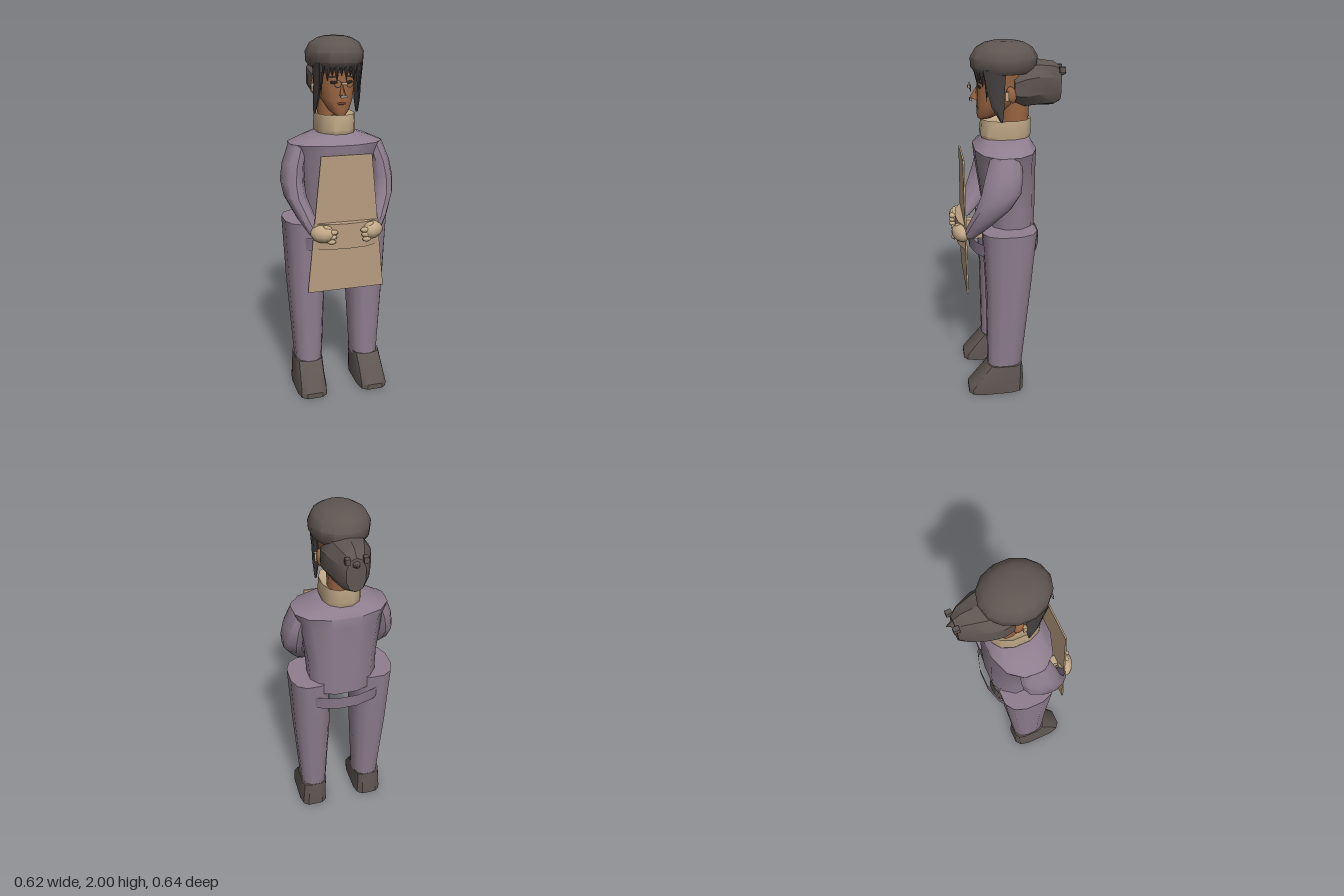
import * as THREE from 'three';
import { toCreasedNormals } from 'three/addons/utils/BufferGeometryUtils.js';

const mat = (name, color, side = THREE.FrontSide) =>
  Object.assign(new THREE.MeshStandardMaterial({ color, side }), { name });

// Skin over elliptical rings [x, y, z, ra, rb]; axis 'y' runs upward, axis 'z' runs front to back.
// power 1 gives ellipses, smaller values give boxier rings.
function loft(rings, { n = 12, axis = 'y', power = 1, capped = true, crease = 0.7 } = {}) {
  const pos = [], idx = [];
  const pw = (v) => Math.sign(v) * Math.pow(Math.abs(v), power);
  for (const [x, y, z, ra, rb] of rings) {
    for (let i = 0; i < n; i++) {
      const a = ((i + 0.5) / n) * Math.PI * 2;
      const p = pw(Math.cos(a)) * ra, q = pw(Math.sin(a)) * rb;
      if (axis === 'y') pos.push(x + p, y, z + q);
      else pos.push(x + p, y + q, z);
    }
  }
  for (let r = 0; r < rings.length - 1; r++) {
    for (let i = 0; i < n; i++) {
      const j = (i + 1) % n, a = r * n + i, b = r * n + j;
      idx.push(a, a + n, b, b, a + n, b + n);
    }
  }
  if (capped) {
    const first = rings[0], last = rings[rings.length - 1];
    const c = pos.length / 3, top = (rings.length - 1) * n;
    pos.push(first[0], first[1], first[2], last[0], last[1], last[2]);
    for (let i = 0; i < n; i++) {
      const j = (i + 1) % n;
      idx.push(c, i, j, c + 1, top + j, top + i);
    }
  }
  const g = new THREE.BufferGeometry();
  g.setAttribute('position', new THREE.Float32BufferAttribute(pos, 3));
  g.setIndex(idx);
  return toCreasedNormals(g, crease);
}

export function createModel() {
  const root = new THREE.Group();
  const cloth = mat('lilac cloth', 0x8f7e8f);
  const beltCloth = mat('belt cloth', 0x877688, THREE.DoubleSide);
  const cap = mat('dark brown felt', 0x5f5652);
  const hair = mat('dark hair', 0x45403f, THREE.DoubleSide);
  const skin = mat('brown skin', 0x9c6743);
  const apron = mat('tan apron', 0xb89d80);
  const cream = mat('cream', 0xc2aa88);
  const metal = mat('grey metal', 0x98918c);
  const lip = mat('lip', 0x6f4033);
  const eye = mat('eye', 0x2c2422);

  const add = (name, geometry, material, pos = [0, 0, 0], rot = [0, 0, 0], scale = [1, 1, 1]) => {
    const m = new THREE.Mesh(geometry, material);
    m.name = name;
    m.position.set(...pos);
    m.rotation.set(...rot);
    m.scale.set(...scale);
    root.add(m);
    return m;
  };
  const box = (w, h, d) => new THREE.BoxGeometry(w, h, d);

  // Torso with square shoulders sloping to the collar
  add('torso', loft([
    [0, 0.95, -0.02, 0.19, 0.13], [0, 1.15, -0.005, 0.2, 0.15],
    [0, 1.38, 0.012, 0.235, 0.166], [0, 1.445, 0.014, 0.262, 0.17],
    [0, 1.475, 0.01, 0.19, 0.145], [0, 1.5, 0.008, 0.11, 0.13],
  ], { power: 0.85 }), cloth);
  add('collar', loft([
    [0, 1.48, 0.008, 0.1, 0.125], [0, 1.515, 0.008, 0.11, 0.14],
    [0, 1.6, 0.005, 0.106, 0.135], [0, 1.585, 0.005, 0.085, 0.11],
  ], { power: 0.85 }), cream);
  add('belt', loft([[0, 0.87, 0.02, 0.27, 0.2], [0, 0.945, 0.02, 0.285, 0.2]],
    { capped: false, n: 16 }), beltCloth);

  for (const s of [1, -1]) {
    const side = s > 0 ? 'left' : 'right';

    // Legs and shoes
    add(side + 'Leg', loft([
      [s * 0.17, 0.15, 0.038, 0.077, 0.1], [s * 0.175, 0.66, 0.016, 0.107, 0.127],
      [s * 0.182, 1.02, 0.01, 0.116, 0.152],
    ], { power: 0.8 }), cloth);
    add(side + 'Shoe', loft([
      [s * 0.18, 0, 0.093, 0.087, 0.163], [s * 0.18, 0.03, 0.093, 0.087, 0.163],
      [s * 0.178, 0.1, 0.065, 0.082, 0.135], [s * 0.174, 0.175, 0.035, 0.08, 0.1],
    ], { power: 0.5, crease: 0.6 }), cap);

    // Sleeve bending forward at the elbow
    add(side + 'Arm', loft([
      [s * 0.165, 0.985, 0.225, 0.035, 0.035], [s * 0.2, 1.06, 0.175, 0.05, 0.065],
      [s * 0.245, 1.17, 0.1, 0.06, 0.095], [s * 0.252, 1.25, 0.062, 0.063, 0.105],
      [s * 0.24, 1.34, 0.045, 0.06, 0.1], [s * 0.205, 1.445, 0.03, 0.055, 0.08],
    ], { n: 10 }), cloth);

    // Fist with curled fingers and thumb
    add(side + 'Hand', new THREE.SphereGeometry(1, 10, 7), cream,
      [s * 0.138, 0.998, 0.272], [0, s * 0.45, 0], [0.068, 0.048, 0.042]);
    for (let i = 0; i < 3; i++) {
      add(side + 'Finger', new THREE.SphereGeometry(0.019, 7, 5), cream,
        [s * (0.085 + i * 0.006), 1.012 - i * 0.026, 0.302], [0, 0, 0], [1.3, 0.75, 1]);
    }
    add(side + 'Thumb', new THREE.SphereGeometry(0.018, 7, 5), cream,
      [s * 0.115, 1.032, 0.285], [0, 0, s * 0.4], [1.6, 0.8, 1]);

    // Apron strap running back to the waist
    add(side + 'Strap', box(0.048, 0.045, 0.14), cream, [s * 0.078, 0.965, 0.178], [0, s * 0.12, 0]);

    // Ear and ear stud
    add(side + 'Ear', new THREE.SphereGeometry(1, 8, 6), skin, [s * 0.108, 1.74, -0.012], [0.2, 0, 0], [0.016, 0.045, 0.026]);
    add(side + 'EarStud', box(0.014, 0.045, 0.018), cream, [s * 0.122, 1.735, 0.012]);

    // Eye, brow and spectacle lens rim
    const turn = s * 0.32;
    add(side + 'Eye', new THREE.SphereGeometry(1, 10, 6), eye, [s * 0.042, 1.772, 0.147], [0, turn, 0], [0.02, 0.008, 0.004]);
    add(side + 'Brow', box(0.04, 0.007, 0.006), hair, [s * 0.045, 1.8, 0.148], [0, turn, s * -0.15]);
    add(side + 'LensRim', new THREE.TorusGeometry(0.018, 0.002, 4, 12), metal, [s * 0.032, 1.768, 0.192]);

    // Long pointed side locks
    add(side + 'Lock', loft([
      [s * 0.118, 1.6, 0.04, 0.006, 0.006], [s * 0.112, 1.68, 0.058, 0.015, 0.034],
      [s * 0.11, 1.76, 0.068, 0.016, 0.045], [s * 0.115, 1.87, 0.075, 0.018, 0.06],
    ], { n: 6 }), hair);
    add(side + 'Wisp', new THREE.ConeGeometry(0.018, 0.17, 4), hair,
      [s * 0.1, 1.79, 0.115], [Math.PI, 0, 0]);
    add(side + 'Hairpin', box(0.024, 0.03, 0.03), cap, [s * 0.045, 1.85, -0.29]);
  }

  // Apron sheet and its bulging pocket
  const sheet = new THREE.Shape([[-0.215, 0.66], [0.215, 0.66], [0.138, 1.41], [-0.138, 1.41]]
    .map(([x, y]) => new THREE.Vector2(x, y)));
  add('apron', new THREE.ExtrudeGeometry(sheet, { depth: 0.009, bevelEnabled: false }), apron, [0, 0, 0.241]);
  const pocket = new THREE.Shape([[-0.178, -0.248], [-0.1, -0.282], [0, -0.292], [0.1, -0.282], [0.178, -0.248]]
    .map(([x, y]) => new THREE.Vector2(x, y)));
  add('apronPocket', new THREE.ExtrudeGeometry(pocket, { depth: 0.14, bevelEnabled: false }), apron,
    [0, 0.91, 0], [-Math.PI / 2, 0, 0]);

  // Head, neck, nose and mouth
  add('neck', loft([[0, 1.5, -0.04, 0.075, 0.075], [0, 1.75, -0.045, 0.085, 0.08]]), skin);
  add('head', loft([
    [0, 1.6, 0.118, 0.03, 0.035], [0, 1.625, 0.095, 0.055, 0.065], [0, 1.68, 0.05, 0.085, 0.108],
    [0, 1.75, 0.028, 0.1, 0.13], [0, 1.87, 0.015, 0.11, 0.14],
  ], { n: 16, crease: 1 }), skin);
  add('nose', new THREE.ConeGeometry(0.022, 0.07, 4), skin, [0, 1.738, 0.163], [-0.2, 0, 0], [0.8, 1, 1.2]);
  add('mouth', new THREE.SphereGeometry(1, 8, 6), lip, [0, 1.663, 0.148], [0, 0, 0], [0.028, 0.01, 0.014]);

  // Spectacle bridge and nose ring
  add('spectacleBridge', box(0.03, 0.014, 0.014), cream, [0, 1.77, 0.198]);
  add('noseRing', box(0.034, 0.014, 0.012), metal, [0, 1.703, 0.19]);

  // Fringe of spikes under the cap
  for (let i = -4; i <= 4; i++) {
    const a = i * 0.2, h = 0.07 + (Math.abs(i) % 2) * 0.025;
    add('fringeSpike', new THREE.ConeGeometry(0.022, h, 4), hair,
      [Math.sin(a) * 0.125, 1.87 - h / 2, 0.025 + Math.cos(a) * 0.13], [Math.PI, 0, 0]);
  }

  // Round soft cap
  add('cap', loft([
    [0, 1.845, 0.012, 0.135, 0.155], [0, 1.87, 0.012, 0.152, 0.175], [0, 1.92, 0.012, 0.155, 0.178],
    [0, 1.965, 0.012, 0.132, 0.15], [0, 1.99, 0.012, 0.09, 0.105], [0, 2, 0.012, 0.05, 0.06],
  ], { n: 14 }), cap);

  // Gathered hair behind the head
  add('bun', loft([
    [0, 1.765, -0.03, 0.115, 0.09], [0, 1.775, -0.09, 0.127, 0.12], [0, 1.782, -0.16, 0.117, 0.122],
    [0, 1.775, -0.25, 0.078, 0.115], [0, 1.77, -0.288, 0.05, 0.09],
  ], { axis: 'z', n: 10, power: 0.85, crease: 0.5 }), cap);
  add('bunTip', new THREE.ConeGeometry(0.032, 0.06, 6), cap, [0, 1.825, -0.295], [-Math.PI / 2, 0, 0]);

  return root;
}
